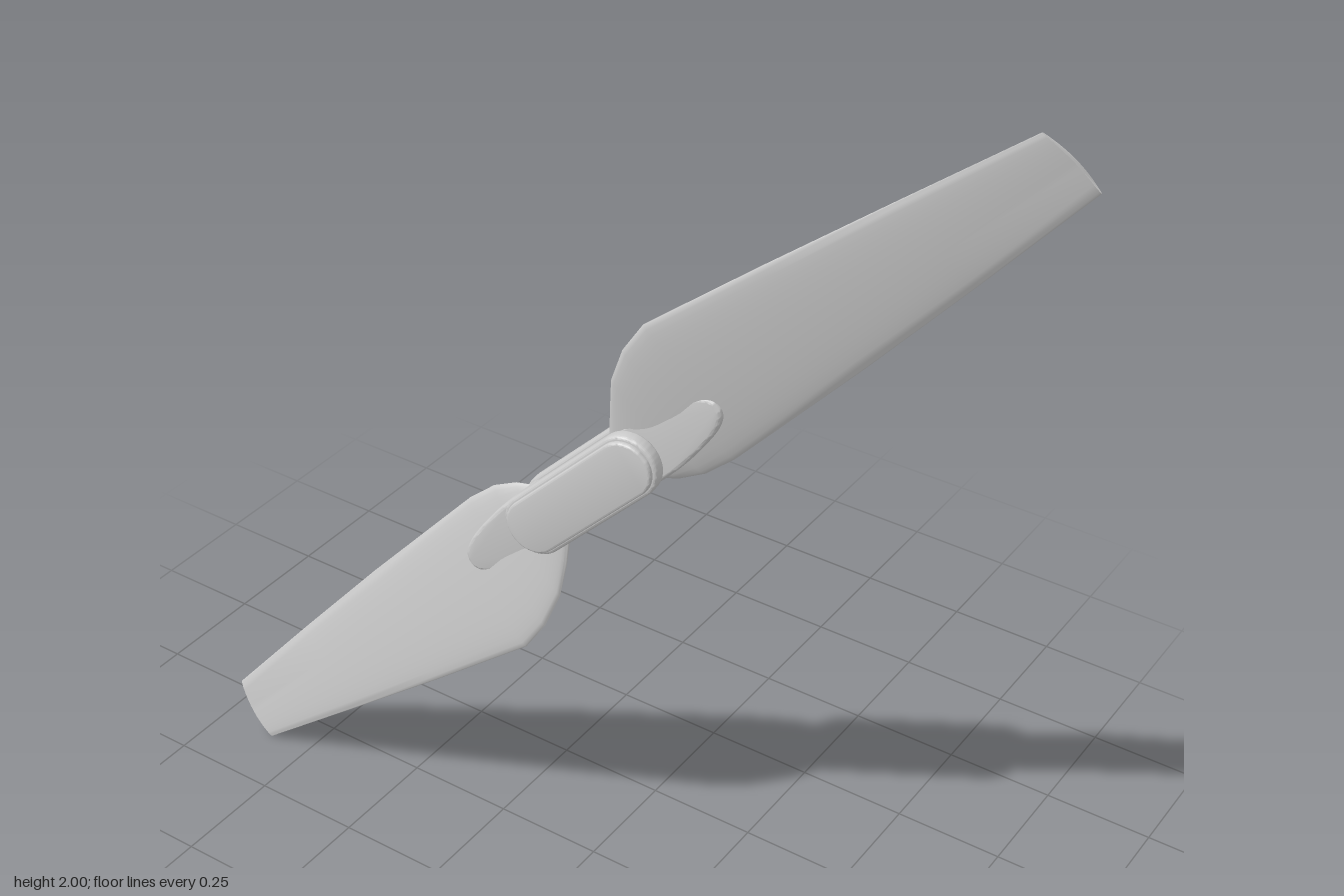
import * as THREE from 'three';
import { toCreasedNormals } from 'three/addons/utils/BufferGeometryUtils.js';

const material = new THREE.MeshStandardMaterial({ color: 0xcccccc });
const PIN = 0.148; // distance of each blade pin from the hub centre

function part(name, geometry, parent) {
  const mesh = new THREE.Mesh(geometry, material);
  mesh.name = name;
  parent.add(mesh);
  return mesh;
}

// Extrude a shape between two heights, with a rounded rim kept inside the outline
function slab(shape, z0, z1, bevel) {
  const geo = new THREE.ExtrudeGeometry(shape, {
    depth: z1 - z0 - 2 * bevel, bevelEnabled: true, bevelThickness: bevel,
    bevelSize: bevel, bevelOffset: -bevel, bevelSegments: 3, curveSegments: 20,
  });
  geo.translate(0, 0, z0 + bevel);
  return toCreasedNormals(geo, 0.6);
}

function stadium(r) {
  const s = new THREE.Shape();
  s.absarc(PIN, 0, r, -Math.PI / 2, Math.PI / 2, false);
  s.absarc(-PIN, 0, r, Math.PI / 2, Math.PI * 1.5, false);
  s.closePath();
  return s;
}

// Round barrel at the pin, tapering to a blunt rounded tongue
function lugShape() {
  const s = new THREE.Shape();
  s.absarc(PIN, 0, 0.066, Math.PI / 2, Math.PI * 1.5, false);
  s.bezierCurveTo(0.22, -0.066, 0.26, -0.062, 0.32, -0.05);
  s.bezierCurveTo(0.37, -0.04, 0.402, -0.025, 0.402, 0.003);
  s.bezierCurveTo(0.402, 0.034, 0.36, 0.042, 0.32, 0.05);
  s.bezierCurveTo(0.26, 0.062, 0.22, 0.066, PIN, 0.066);
  return s;
}

// Pitched blade lofted through aerofoil sections
function bladeGeometry() {
  // along, left edge (across, height), right edge (across, height), thickness
  const stations = [
    [0.125, 0.062, 0.012, -0.05, -0.008, 0.018],
    [0.18, 0.11, 0.02, -0.085, -0.012, 0.02],
    [0.24, 0.157, 0.033, -0.105, -0.016, 0.021],
    [0.32, 0.194, 0.044, -0.111, -0.018, 0.021],
    [0.403, 0.212, 0.047, -0.107, -0.018, 0.02],
    [0.7, 0.178, 0.04, -0.092, -0.018, 0.017],
    [1.0, 0.14, 0.031, -0.071, -0.016, 0.013],
    [1.313, 0.099, 0.022, -0.046, -0.012, 0.009],
  ];
  const n = 32, pos = [], idx = [];
  for (const [u, vl, wl, vr, wr, t] of stations) {
    for (let j = 0; j < n; j++) {
      const a = (j / n) * Math.PI * 2;
      const s = (1 - Math.cos(a)) / 2;
      const bulge = Math.sin(a) * t * (Math.sin(a) > 0 ? 0.75 : 0.4);
      const tip = u > 1.3 ? 0.008 * Math.sin(Math.PI * s) : 0;
      pos.push(u + tip, vl + (vr - vl) * s, wl + (wr - wl) * s + bulge);
    }
  }
  const last = (stations.length - 1) * n;
  for (let j = 0; j < n; j++) {
    const k = (j + 1) % n;
    for (let i = 0; i < last; i += n) {
      idx.push(i + j, i + k, i + n + j, i + k, i + n + k, i + n + j);
    }
    // end caps
    if (j > 0 && j < n - 1) idx.push(last, last + j, last + k, 0, k, j);
  }
  const geo = new THREE.BufferGeometry();
  geo.setAttribute('position', new THREE.Float32BufferAttribute(pos, 3));
  geo.setIndex(idx);
  return toCreasedNormals(geo, 0.7);
}

export function createModel() {
  const model = new THREE.Group();
  model.name = 'foldingPropeller';

  // Whole propeller turned diagonally and yawed slightly
  const yaw = new THREE.Group();
  yaw.name = 'propellerAxis';
  yaw.position.set(0, 1, 0.003);
  yaw.rotation.y = 0.093;
  model.add(yaw);
  const spin = new THREE.Group();
  spin.name = 'propeller';
  spin.rotation.z = Math.PI / 4;
  yaw.add(spin);

  // Clamp plates with a raised outer face
  const baseGeo = slab(stadium(0.07), 0.027, 0.058, 0.006);
  const faceGeo = slab(stadium(0.061), 0.05, 0.068, 0.005);
  for (const [name, turn] of [['front', 0], ['back', Math.PI]]) {
    const clamp = new THREE.Group();
    clamp.name = name + 'Clamp';
    clamp.rotation.x = turn;
    part(name + 'ClampPlate', baseGeo, clamp);
    part(name + 'ClampFace', faceGeo, clamp);
    spin.add(clamp);
  }

  // Two blades, half a turn apart
  const bladeGeo = bladeGeometry();
  const lugGeo = slab(lugShape(), -0.026, 0.026, 0.008);
  const pinGeo = new THREE.CylinderGeometry(0.025, 0.025, 0.1, 24).rotateX(Math.PI / 2);
  for (const [name, turn] of [['upper', 0], ['lower', Math.PI]]) {
    const arm = new THREE.Group();
    arm.name = name + 'Arm';
    arm.rotation.z = turn;
    part(name + 'Blade', bladeGeo, arm);
    part(name + 'BladeRoot', lugGeo, arm);
    part(name + 'HingePin', pinGeo, arm).position.x = PIN;
    spin.add(arm);
  }
  return model;
}
